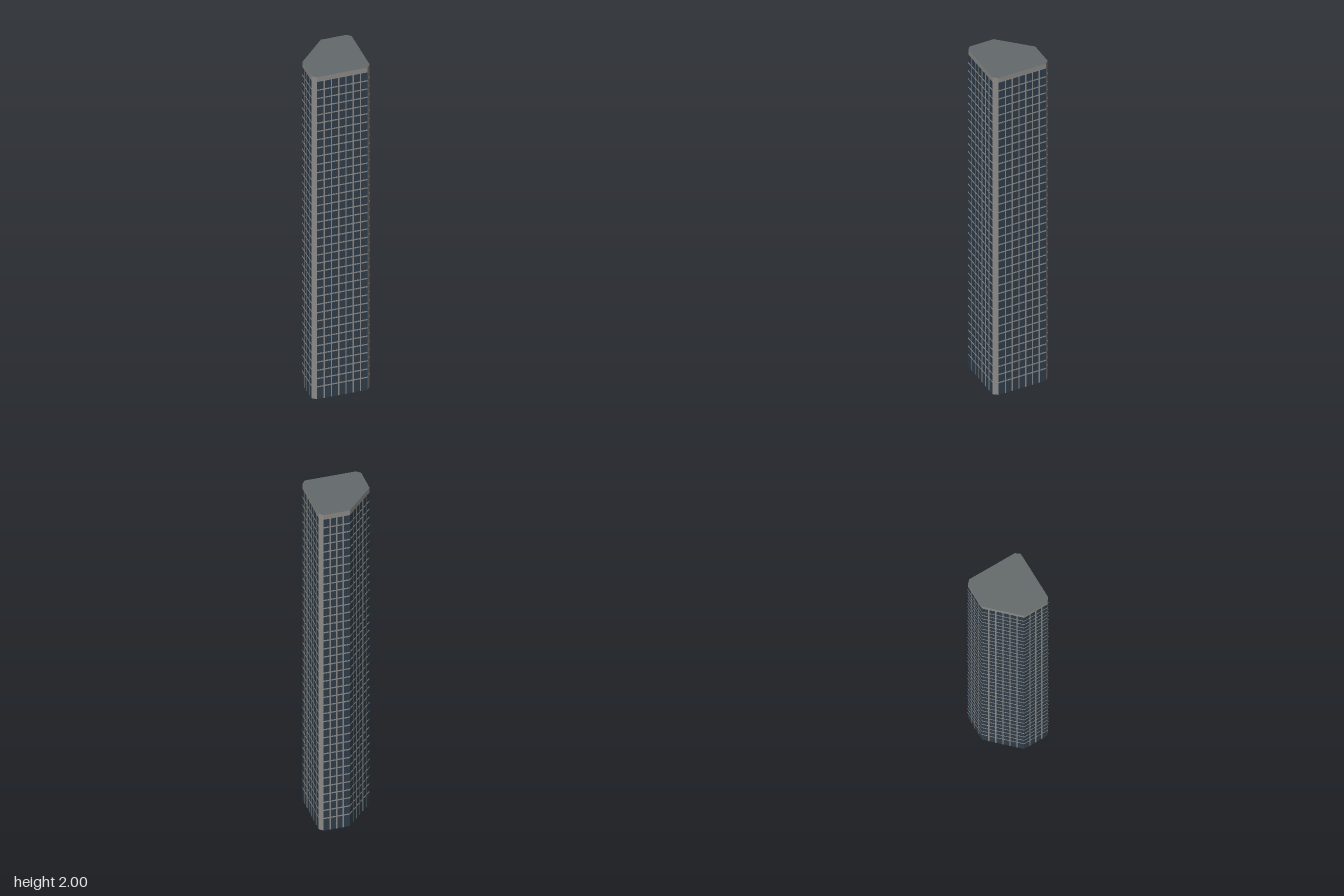
import * as THREE from 'three';
import { mergeGeometries } from 'three/addons/utils/BufferGeometryUtils.js';

const HEIGHT = 2, BAND = 0.03, LOBBY = 0.077, FLOORS = 37;
const LINE = 0.007, DEPTH = 0.002;

// Footprint corners [x, z], clockwise from above, and window columns on the wall
// that runs to the next corner (0 = plain chamfered pier).
const FOOTPRINT = [
  [-0.092, -0.206, 0], [-0.063, -0.211, 7], [0.163, -0.055, 0], [0.172, -0.025, 7],
  [0.013, 0.2, 0], [-0.015, 0.208, 4], [-0.131, 0.129, 6], [-0.173, -0.091, 4],
];

const material = (color) => new THREE.MeshStandardMaterial({ color, side: THREE.DoubleSide });

export function createModel() {
  const tower = new THREE.Group();
  tower.name = 'tower';
  const glass = material(0x2f3d4a), frame = material(0x8c8a87), roofing = material(0x646a6b);

  const add = (parent, name, geometry, mat) => {
    const mesh = new THREE.Mesh(geometry, mat);
    mesh.name = name;
    parent.add(mesh);
  };
  // Upright panel between two heights
  const panel = (width, y0, y1) =>
    new THREE.PlaneGeometry(width, y1 - y0).translate(0, (y0 + y1) / 2, 0);

  FOOTPRINT.forEach(([x, z, columns], i) => {
    const [nx, nz] = FOOTPRINT[(i + 1) % FOOTPRINT.length];
    const width = Math.hypot(nx - x, nz - z);
    const wall = new THREE.Group();
    wall.name = columns ? 'facade' : 'cornerPier';
    wall.position.set((x + nx) / 2, 0, (z + nz) / 2);
    wall.rotation.y = Math.atan2(nz - z, x - nx);
    tower.add(wall);

    if (!columns) {
      add(wall, 'pier', panel(width, 0, HEIGHT), frame);
      return;
    }

    const top = HEIGHT - BAND;
    add(wall, 'windowGlass', panel(width, 0, top), glass);
    add(wall, 'topBand', panel(width, top, HEIGHT), frame);

    // Floor lines and mullions, showing on both sides of the glass
    const bars = [];
    for (let f = 0; f < FLOORS; f++) {
      const y = LOBBY + (f * (top - LOBBY)) / FLOORS;
      bars.push(new THREE.BoxGeometry(width, LINE, DEPTH).translate(0, y, 0));
    }
    for (let c = 1; c < columns; c++) {
      const bx = (c / columns - 0.5) * width;
      bars.push(new THREE.BoxGeometry(LINE, top, DEPTH).translate(bx, top / 2, 0));
    }
    add(wall, 'windowGrid', mergeGeometries(bars), frame);
  });

  // Flat roof; the underside of the tower stays open
  const outline = new THREE.Shape(FOOTPRINT.map(([x, z]) => new THREE.Vector2(x, -z)));
  const roof = new THREE.ShapeGeometry(outline).rotateX(-Math.PI / 2).translate(0, HEIGHT, 0);
  add(tower, 'roof', roof, roofing);

  return tower;
}
